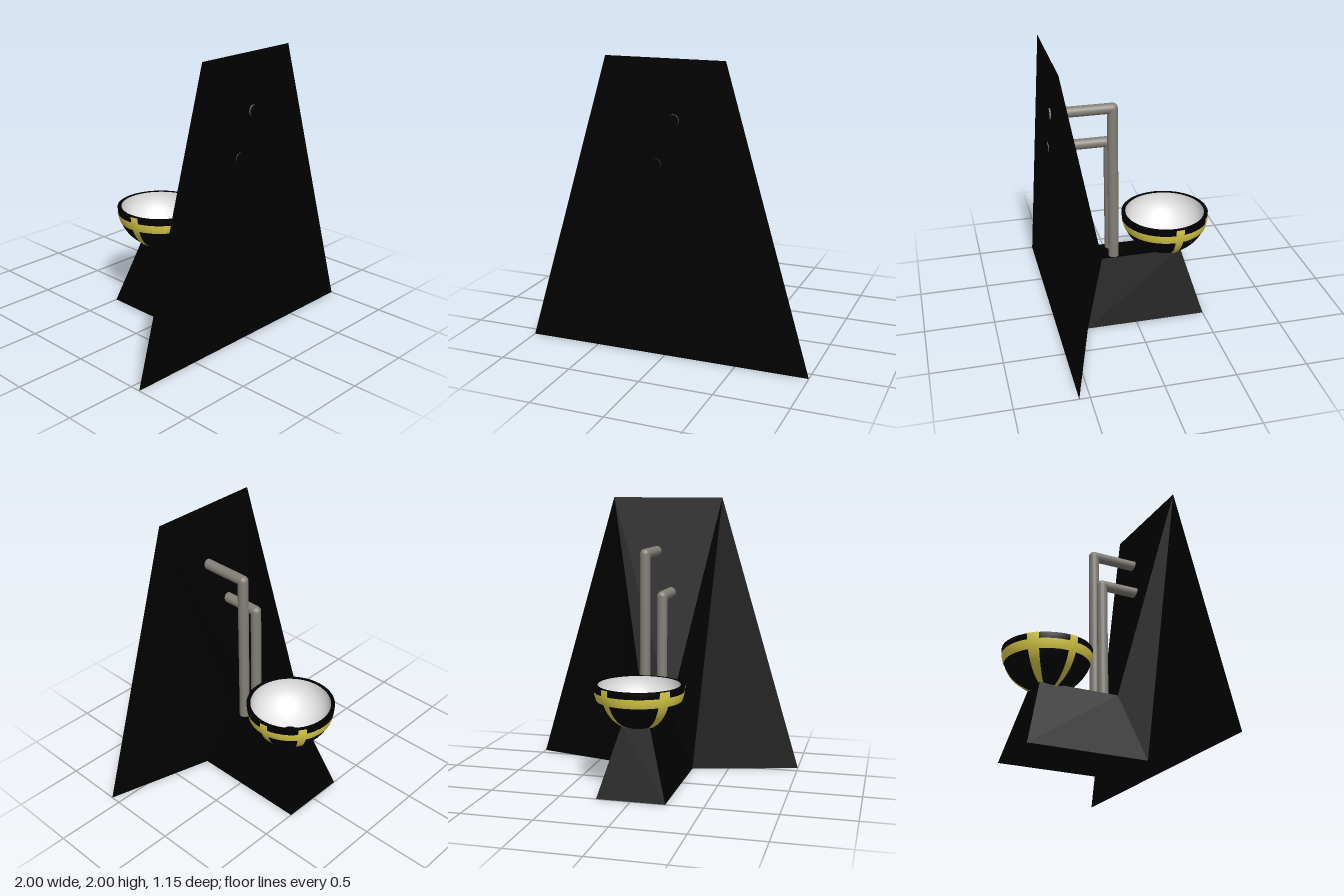
import * as THREE from 'three';

const black = new THREE.MeshStandardMaterial({ color: 0x000000 });
black.name = 'black';
const yellow = new THREE.MeshStandardMaterial({ color: 0xe0d24a });
yellow.name = 'yellow';
const grey = new THREE.MeshStandardMaterial({ color: 0x837f77 });
grey.name = 'pipeGrey';
const white = new THREE.MeshStandardMaterial({ color: 0xf2f2f2, side: THREE.DoubleSide });
white.name = 'white';

const RAD = Math.PI / 180;

function add(parent, name, geometry, material, x = 0, y = 0, z = 0) {
  const mesh = new THREE.Mesh(geometry, material);
  mesh.name = name;
  mesh.position.set(x, y, z);
  parent.add(mesh);
  return mesh;
}

// Flat-faced surface from outward-facing polygons (counter-clockwise corners)
function facetted(polygons) {
  const points = [];
  for (const corners of polygons) {
    for (let i = 1; i < corners.length - 1; i++) {
      points.push(...corners[0], ...corners[i], ...corners[i + 1]);
    }
  }
  const geometry = new THREE.BufferGeometry();
  geometry.setAttribute('position', new THREE.Float32BufferAttribute(points, 3));
  geometry.computeVertexNormals();
  return geometry;
}

// Mirror image of a polygon across x = 0, kept facing outward
const mirror = (corners) => corners.map(([x, y, z]) => [-x, y, z]).reverse();

// Polygon spanning both sides, from an edge on the +x side
const across = (a, b) => [a, b, [-b[0], b[1], b[2]], [-a[0], a[1], a[2]]];

// Upright pipe with a round elbow and an arm running into the back board
function makePipe(name, x, height) {
  const pipe = new THREE.Group();
  pipe.name = name;
  const r = 0.037, z = 0.127, base = 0.475, end = 0.555;
  add(pipe, 'upright', new THREE.CylinderGeometry(r, r, height - base, 24, 1, true),
    grey, x, (height + base) / 2, z);
  add(pipe, 'elbow', new THREE.SphereGeometry(r, 24, 16), grey, x, height, z);
  const arm = add(pipe, 'arm', new THREE.CylinderGeometry(r, r, end - z, 24, 1, true),
    grey, x, height, (end + z) / 2);
  arm.rotation.x = Math.PI / 2;
  return pipe;
}

function makeBowl() {
  const bowl = new THREE.Group();
  bowl.name = 'bowl';
  bowl.position.set(0, 0.757, -0.265);
  const R = 0.31, inner = 0.283, depth = 0.305;

  // Patch of the lower half of a sphere, flattened to the bowl depth
  const patch = (radius, d, phi, phiLength, theta, thetaLength, segments) =>
    new THREE.SphereGeometry(radius, segments, 20, phi, phiLength, theta, thetaLength)
      .scale(1, d / radius, 1);

  add(bowl, 'shell', patch(R, depth, 0, Math.PI * 2, Math.PI / 2, Math.PI / 2, 48), black);
  add(bowl, 'lining', patch(inner, 0.27, 0, Math.PI * 2, Math.PI / 2, Math.PI / 2, 48), white);
  add(bowl, 'rim', new THREE.RingGeometry(inner, R, 48).rotateX(-Math.PI / 2), black);
  add(bowl, 'drain', new THREE.CylinderGeometry(0.054, 0.054, 0.008, 32), black, 0, -0.262, 0);

  // Painted band and ribs
  const top = Math.acos(-0.14), bottom = Math.acos(-0.35);
  add(bowl, 'band', patch(R + 0.003, depth + 0.003, 0, Math.PI * 2, top, bottom - top, 48), yellow);
  for (const [angle, width] of [[5.6, 11.2], [57, 11.2], [138, 15], [190, 11.2]]) {
    add(bowl, 'rib', patch(R + 0.004, depth + 0.004, Math.PI + (angle - width / 2) * RAD,
      width * RAD, Math.PI / 2, 85 * RAD, 4), yellow);
  }
  return bowl;
}

export function createModel() {
  const model = new THREE.Group();
  model.name = 'fountain';

  // Corners on the +x side
  const frontFoot = [1, 0, 0.573], frontTop = [0.41, 2, 0.54];
  const seamFoot = [0.24, 0, 0.36], seamTop = [0.1, 0.48, 0.22];
  const rearFoot = [0.24, 0, -0.5], rearTop = [0.1, 0.48, -0.36];

  // Tapering back board, creased where its wings meet the spine
  const wing = [frontFoot, seamFoot, frontTop];
  const spineSide = [seamFoot, seamTop, frontTop];
  add(model, 'backBoard', facetted([
    across(frontFoot, frontTop),
    wing, mirror(wing),
    spineSide, mirror(spineSide),
    across(frontTop, seamTop),
    across(seamFoot, frontFoot),
  ]), black);

  // Pedestal under the bowl
  const side = [seamFoot, rearFoot, rearTop, seamTop];
  add(model, 'pedestal', facetted([
    side, mirror(side),
    across(seamTop, rearTop),
    across(rearTop, rearFoot),
    across(rearFoot, seamFoot),
  ]), black);

  model.add(makePipe('tallPipe', 0.062, 1.61));
  model.add(makePipe('shortPipe', -0.062, 1.315));
  model.add(makeBowl());
  return model;
}
